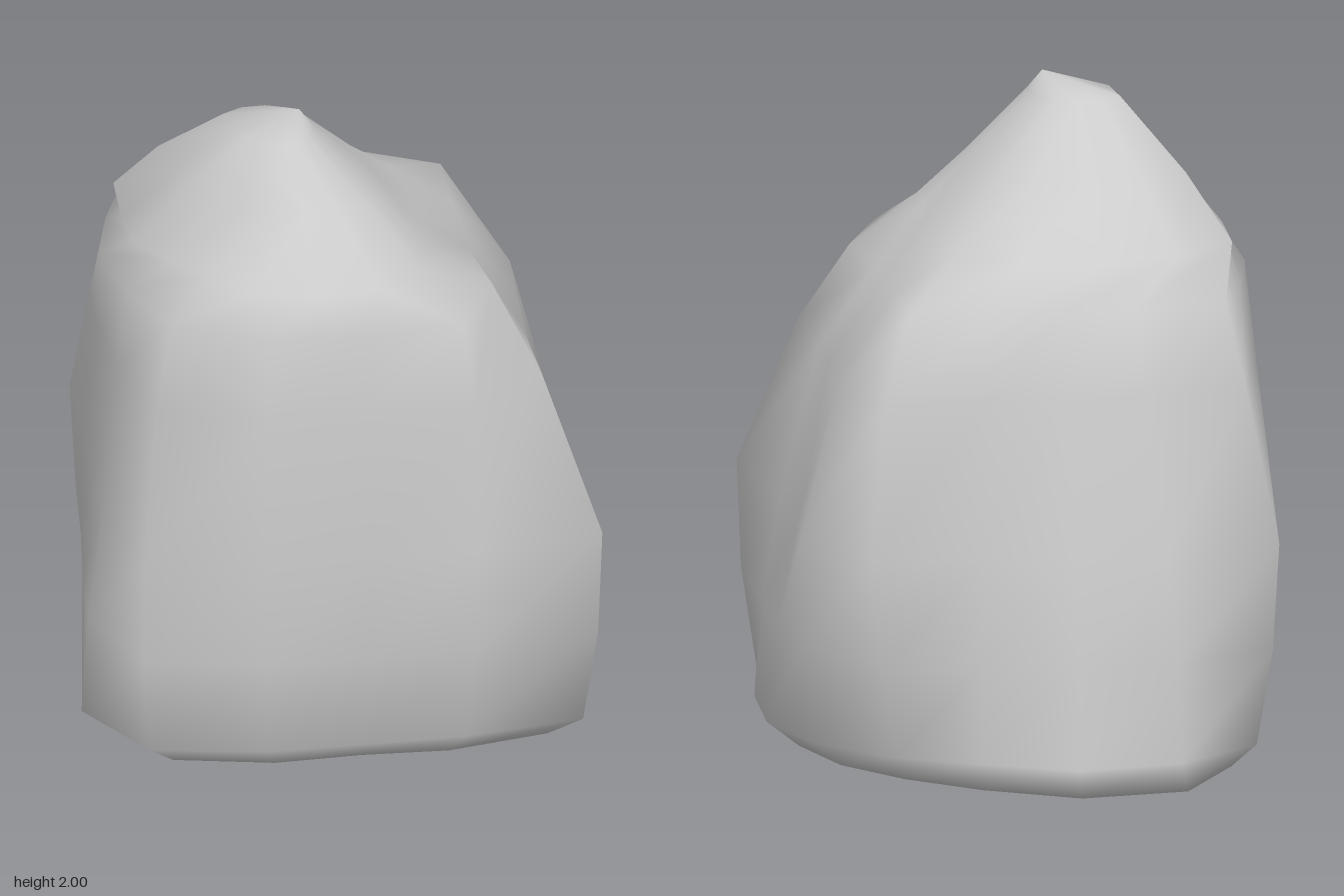
import * as THREE from 'three';

const SIDES = 16;

// Horizontal section: height, radii counted from +x round through +z, centre [x, z]
const section = (y, radii, [cx, cz] = [0, 0]) =>
  radii.map((r, i) => {
    const a = (i / SIDES) * Math.PI * 2;
    return new THREE.Vector3(cx + r * Math.cos(a), y, cz + r * Math.sin(a));
  });

function buildSections() {
  const foot = [.79, .82, .95, .79, .73, .79, .92, .86, .73, .71, .83, .83, .79, .7, .72, .76];
  const flank = [.69, .74, 1.02, .86, .8, .83, .94, .78, .7, .73, .91, .76, .7, .68, .85, .82];
  const peak = [.27, .27, .28, .28, .26, .25, .24, .26, .32, .35, .47, .46, .43, .39, .33, .28];
  return [
    // underside edge and foot
    section(0.02, [.69, .72, .82, .7, .63, .69, .79, .74, .63, .65, .74, .86, .81, .7, .66, .67]),
    section(0.1, foot),
    // flanks, swelling slightly between foot and mid height
    section(0.4, foot.map((r, i) => (r + flank[i]) * 0.51)),
    section(0.73, flank),
    section(1.2, [.6, .62, .8, .84, .78, .82, .88, .73, .68, .71, .79, .65, .59, .61, .78, .68]),
    // shoulders
    section(1.45, [.43, .45, .62, .78, .75, .78, .8, .7, .68, .66, .72, .58, .52, .55, .64, .47]),
    section(1.57, [.41, .43, .5, .53, .51, .47, .4, .41, .46, .5, .62, .63, .62, .63, .57, .46], [-.15, .2]),
    // peak, leaning forward and narrowing to its tip
    section(1.75, peak, [-.15, .25]),
    section(1.94, peak.map((r) => r * 0.42), [-.19, .28]),
  ];
}

// Skin the sections and close both ends with a fan
function loft(sections, bottom, top) {
  const points = [...sections.flat(), bottom, top];
  const bottomId = points.length - 2;
  const topId = points.length - 1;
  const last = (sections.length - 1) * SIDES;
  const index = [];
  for (let i = 0; i < SIDES; i++) {
    const n = (i + 1) % SIDES;
    for (let row = 0; row < last; row += SIDES) {
      const a = row + i, b = row + n, c = a + SIDES, d = b + SIDES;
      index.push(a, c, b, b, c, d);
    }
    index.push(bottomId, i, n);
    index.push(last + i, topId, last + n);
  }
  const geometry = new THREE.BufferGeometry().setFromPoints(points);
  geometry.setIndex(index);
  geometry.computeVertexNormals();
  return geometry;
}

export function createModel() {
  const group = new THREE.Group();
  group.name = 'rock';
  const boulder = new THREE.Mesh(
    loft(buildSections(), new THREE.Vector3(0, 0, 0), new THREE.Vector3(-.12, 2, .28)),
    new THREE.MeshStandardMaterial({ color: 0xcccccc })
  );
  boulder.name = 'boulder';
  group.add(boulder);
  return group;
}
